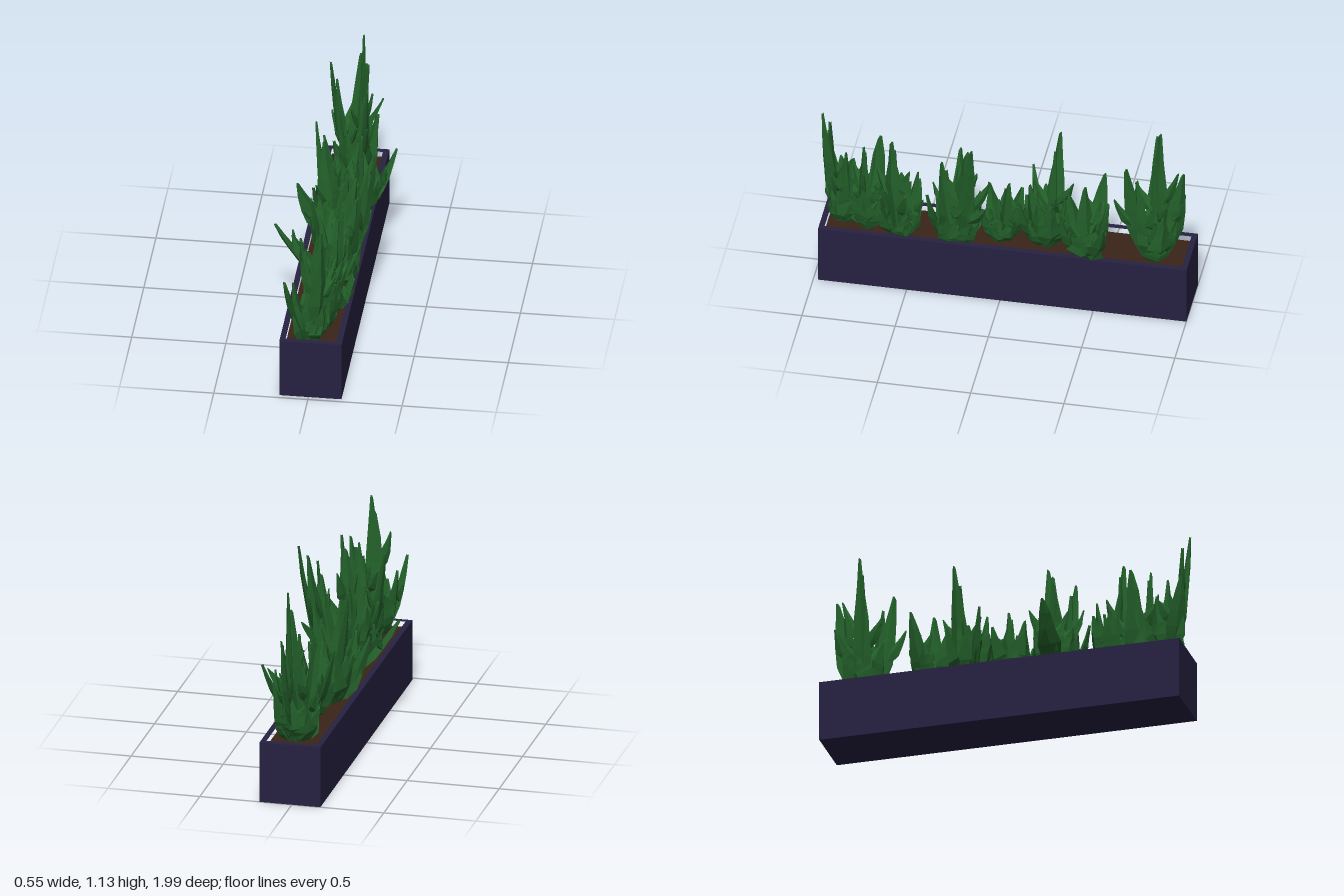
import * as THREE from 'three';

const planterMat = new THREE.MeshStandardMaterial({ color: 0x262142, flatShading: true });
const soilMat = new THREE.MeshStandardMaterial({ color: 0x3a2419, flatShading: true });
const leafMat = new THREE.MeshStandardMaterial({ color: 0x23602a, flatShading: true, side: THREE.DoubleSide });

// Seeded random numbers
let seed = 11;
function rand(a = 0, b = 1) {
  seed = (seed * 16807) % 2147483647;
  return a + (b - a) * (seed / 2147483647);
}

const V = (x, y, z) => new THREE.Vector3(x, y, z);
const clamp = THREE.MathUtils.clamp;
const RINGS = 6;

// Half-width along a leaf: widest below the middle, narrow at the tip
const leafWidth = (t) => (t < 0.42 ? 0.4 + 1.43 * t : 1 - 1.45 * (t - 0.42));

// Thick folded blade: diamond cross-sections along a bent path
function bladeGeometry(base, tip, width, twist) {
  const out = tip.clone().sub(base);
  const bend = V(base.x + out.x * 0.65, base.y + out.y * 0.42, base.z + out.z * 0.65);
  const path = new THREE.QuadraticBezierCurve3(base, bend, tip);
  const pos = [], idx = [];
  for (let i = 0; i < RINGS; i++) {
    const t = i / (RINGS - 1);
    const p = path.getPoint(t), tan = path.getTangent(t);
    const side = V(Math.cos(twist), 0, Math.sin(twist));
    side.addScaledVector(tan, -side.dot(tan)).normalize();
    const normal = tan.clone().cross(side);
    const h = width * 0.5 * leafWidth(t) * rand(0.85, 1.15);
    const skew = rand(-0.22, 0.22) * h;
    const drop = i === RINGS - 1 ? h * 1.8 : 0;
    const corners = [[h, 0, drop], [skew, h * 0.45 + 0.004, 0], [-h, 0, 0], [skew, -h * 0.2 - 0.003, 0]];
    for (const [a, b, c] of corners) {
      const q = p.clone().addScaledVector(side, a).addScaledVector(normal, b).addScaledVector(tan, -c);
      pos.push(q.x, q.y, q.z);
    }
    for (let k = 0; i > 0 && k < 4; k++) {
      const a = (i - 1) * 4 + k, b = (i - 1) * 4 + (k + 1) % 4;
      idx.push(a, b, b + 4, a, b + 4, a + 4);
    }
  }
  const e = (RINGS - 1) * 4;
  idx.push(0, 2, 1, 0, 3, 2, e, e + 1, e + 2, e, e + 2, e + 3);
  const indexed = new THREE.BufferGeometry();
  indexed.setAttribute('position', new THREE.Float32BufferAttribute(pos, 3));
  indexed.setIndex(idx);
  const geometry = indexed.toNonIndexed();
  geometry.computeVertexNormals();
  return { geometry, path };
}

// One leaf with smaller spurs branching off its sides
function leaf(base, tip, width, twist, spurs) {
  const group = new THREE.Group();
  group.name = 'leaf';
  const { geometry, path } = bladeGeometry(base, tip, width, twist);
  const blade = new THREE.Mesh(geometry, leafMat);
  blade.name = 'blade';
  group.add(blade);
  const len = base.distanceTo(tip);
  for (let i = 0; i < spurs; i++) {
    const reach = (i % 2 ? 1 : -1) * rand(0.12, 0.24) * len;
    const root = path.getPoint(rand(0.25, 0.5));
    const end = V(
      clamp(root.x + Math.cos(twist) * reach, -0.22, 0.25),
      root.y + len * rand(0.22, 0.36),
      clamp(root.z + Math.sin(twist) * reach, -0.96, 0.96));
    const spur = new THREE.Mesh(bladeGeometry(root, end, width * 0.55, twist + rand(-0.5, 0.5)).geometry, leafMat);
    spur.name = 'spur';
    group.add(spur);
  }
  return group;
}

// Plant roots along the trough: x, z, spread of the foot
const ROOTS = [
  [0.02, -0.8, 0.13], [0.06, -0.43, 0.14], [0, -0.22, 0.15], [0, 0.02, 0.14],
  [0.07, 0.25, 0.16], [0.06, 0.55, 0.13], [0.03, 0.73, 0.1], [0, 0.86, 0.11],
];

// Tips of the tall leaves: x, y, z
const TALL_TIPS = [
  [0.06, 1.13, -0.84], [-0.11, 0.98, -0.79], [0.06, 0.88, -0.96], [0.1, 0.9, -0.66],
  [0.27, 0.61, -0.57], [-0.11, 0.7, -0.51], [0.1, 0.75, -0.44],
  [-0.12, 0.93, -0.27], [-0.2, 0.64, -0.11], [0.06, 0.7, -0.14],
  [-0.27, 0.61, 0.26], [0.12, 0.74, -0.04],
  [0.25, 1.02, 0.14], [0.19, 0.88, 0.31], [-0.08, 0.78, 0.26],
  [0.13, 0.93, 0.59], [0.06, 0.7, 0.46],
  [0.12, 0.87, 0.74], [-0.08, 0.8, 0.69],
  [0.065, 1.02, 0.97], [-0.13, 0.7, 0.98], [0.1, 0.8, 0.84],
];

// Tall leaf plus a shorter companion beside it, both from the nearest root
function tallLeaves(x, y, z) {
  const group = new THREE.Group();
  group.name = 'tallLeaf';
  const [rx, rz] = ROOTS.reduce((best, r) =>
    (Math.hypot(r[0] - x, r[1] - z) < Math.hypot(best[0] - x, best[1] - z) ? r : best));
  const base = V(rx + (x - rx) * 0.25, 0.29, rz + (z - rz) * 0.25);
  const twist = rand(0.7, 2.4);
  group.add(leaf(base, V(x, y, z), rand(0.1, 0.13), twist, 2));
  const second = V(x + (rx - x) * rand(0.2, 0.4), y - rand(0.06, 0.12), z + (rz - z) * rand(0.2, 0.5));
  group.add(leaf(base, second, rand(0.1, 0.14), twist + rand(0.4, 1), 1));
  return group;
}

// Short broad leaves around a root
function footLeaves(x, z, spread) {
  const group = new THREE.Group();
  group.name = 'footLeaves';
  const count = Math.round(spread * 60);
  for (let i = 0; i < count; i++) {
    const a = (i / count) * Math.PI * 2 + rand(-0.3, 0.3);
    const dx = Math.cos(a) * spread * rand(0.7, 1.05), dz = Math.sin(a) * spread * rand(0.7, 1.05);
    const tip = V(clamp(x + dx, -0.19, 0.18), rand(0.43, 0.64), clamp(z + dz, -0.96, 0.96));
    const base = V(x + dx * 0.35, 0.29, z + dz * 0.35);
    group.add(leaf(base, tip, rand(0.11, 0.16), a + Math.PI / 2, 1));
  }
  return group;
}

function rectangle(Type, x0, x1, z0, z1) {
  return new Type([[x0, z0], [x1, z0], [x1, z1], [x0, z1]].map(([x, z]) => new THREE.Vector2(x, -z)));
}

export function createModel() {
  seed = 11;
  const model = new THREE.Group();
  model.name = 'planterBox';

  // Trough walls with an open top
  const outline = rectangle(THREE.Shape, -0.155, 0.175, -1, 0.975);
  outline.holes.push(rectangle(THREE.Path, -0.125, 0.145, -0.97, 0.945));
  const wallGeo = new THREE.ExtrudeGeometry(outline, { depth: 0.335, bevelEnabled: false });
  wallGeo.rotateX(-Math.PI / 2);
  const walls = new THREE.Mesh(wallGeo, planterMat);
  walls.name = 'troughWalls';
  model.add(walls);

  // Trough floor
  const floor = new THREE.Mesh(new THREE.BoxGeometry(0.27, 0.03, 1.915), planterMat);
  floor.name = 'troughFloor';
  floor.position.set(0.01, 0.015, -0.0125);
  model.add(floor);

  // Soil filling
  const soil = new THREE.Mesh(new THREE.BoxGeometry(0.27, 0.275, 1.915), soilMat);
  soil.name = 'soil';
  soil.position.set(0.01, 0.1675, -0.0125);
  model.add(soil);

  // Row of plants
  const plants = new THREE.Group();
  plants.name = 'plants';
  ROOTS.forEach((r) => plants.add(footLeaves(...r)));
  TALL_TIPS.forEach((t) => plants.add(tallLeaves(...t)));
  model.add(plants);
  return model;
}
